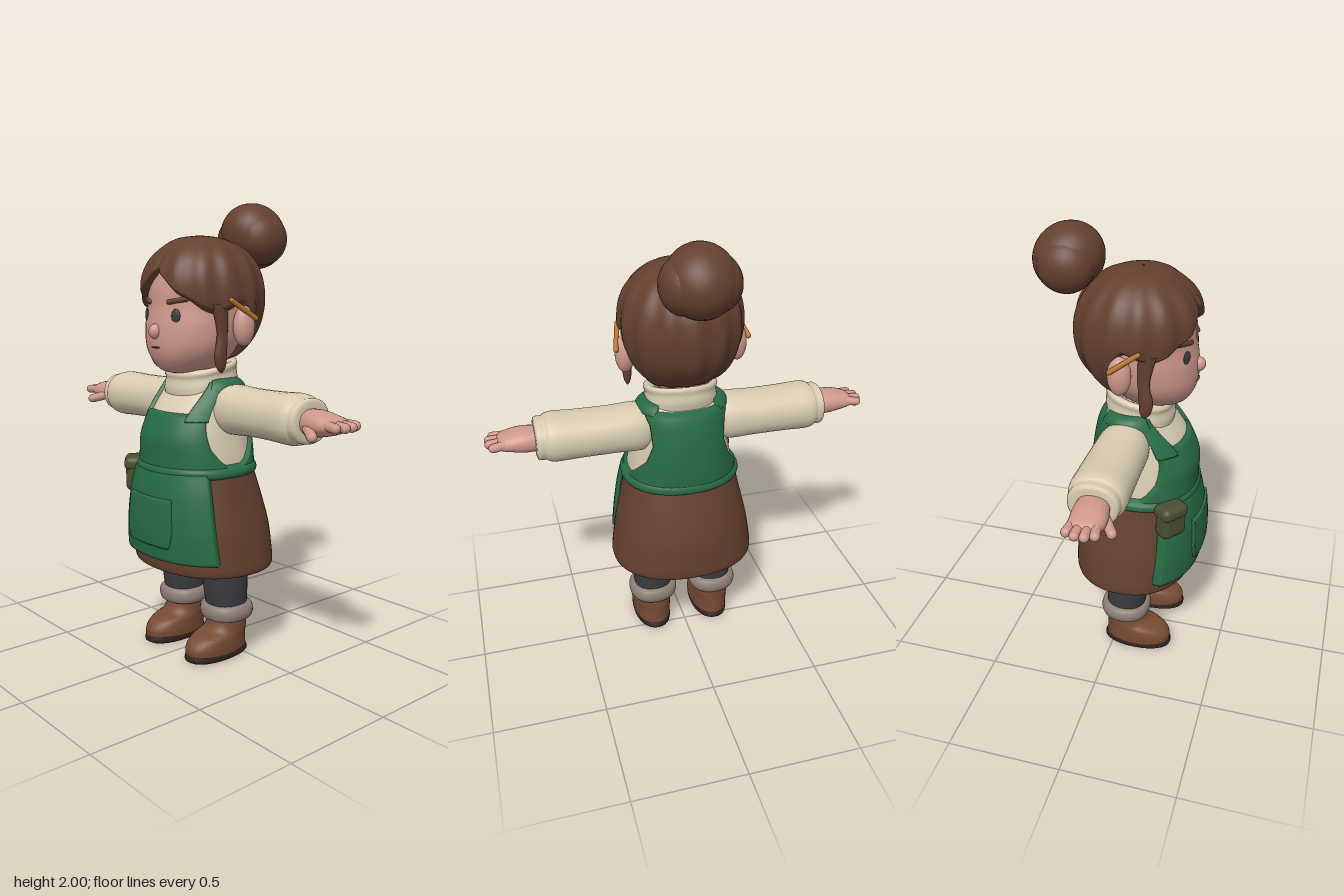
import * as THREE from 'three';
import { ParametricGeometry } from 'three/addons/geometries/ParametricGeometry.js';
import { RoundedBoxGeometry } from 'three/addons/geometries/RoundedBoxGeometry.js';

const material = (name, color) => {
  const m = new THREE.MeshStandardMaterial({ color, side: THREE.DoubleSide });
  m.name = name;
  return m;
};
const { lerp, clamp, degToRad: rad } = THREE.MathUtils;

// Cross-section row: [y, half width, front z, back z]; t is a fractional row index
function rowAt(rows, t) {
  const n = rows.length - 1, i = Math.min(n - 1, Math.max(0, Math.floor(t))), f = t - i;
  const r = (k) => rows[clamp(k, 0, n)];
  return rows[i].map((b, c) => {
    const a = r(i - 1)[c], d = r(i + 1)[c], e = r(i + 2)[c];
    return b + 0.5 * f * (d - a + f * (2 * a - 5 * b + 4 * d - e + f * (3 * (b - d) + e - a)));
  });
}
function indexOf(rows, y) {
  let i = 0;
  while (i < rows.length - 2 && y > rows[i + 1][0]) i++;
  return i + (y - rows[i][0]) / (rows[i + 1][0] - rows[i][0]);
}
const pow = (v, p) => Math.sign(v) * Math.abs(v) ** p;

// Point on a lofted body; phi runs from the front (+z) towards +x
function place(rows, t, phi, off, out, p = 0.9) {
  const [y, rx, zf, zb] = rowAt(rows, t);
  return out.set((rx + off) * pow(Math.sin(phi), p), y, (zf + zb) / 2 + ((zf - zb) / 2 + off) * pow(Math.cos(phi), p));
}
const loft = (rows, n = 32, per = 4, p = 0.9) => new ParametricGeometry(
  (u, v, out) => place(rows, v * (rows.length - 1), u * 2 * Math.PI, 0, out, p), n, (rows.length - 1) * per);

// Cloth patch lying on a loft between two angles (degrees, functions of y), edges tucked in
function panel(rows, off, y0, y1, lo, hi) {
  return new ParametricGeometry((u, v, out) => {
    const y = lerp(y0, y1, v);
    const edge = Math.max(0, 1 - Math.min(u, 1 - u, v, 1 - v) / 0.04);
    place(rows, indexOf(rows, y), rad(lerp(lo(y), hi(y), u)), off - 0.03 * edge, out);
  }, 50, 26);
}
// Piecewise linear lookup in [key, value] pairs
function lookup(pairs, k) {
  let i = 0;
  while (i < pairs.length - 2 && k > pairs[i + 1][0]) i++;
  const [a, b] = [pairs[i], pairs[i + 1]];
  return lerp(a[1], b[1], clamp((k - a[0]) / (b[0] - a[0]), 0, 1));
}
const ball = (x, y, z, rx, ry, rz) => new THREE.SphereGeometry(1, 24, 16).scale(rx, ry, rz).translate(x, y, z);
function rod(a, b, r) {
  const s = new THREE.Vector3(...a), e = new THREE.Vector3(...b), d = e.clone().sub(s);
  const q = new THREE.Quaternion().setFromUnitVectors(new THREE.Vector3(0, 1, 0), d.clone().normalize());
  const mid = s.add(e).multiplyScalar(0.5);
  return new THREE.CapsuleGeometry(r, d.length(), 6, 12).applyQuaternion(q).translate(mid.x, mid.y, mid.z);
}
function mirrored(geo) {
  const g = geo.clone().scale(-1, 1, 1);
  if (!g.index) return g;
  const ix = g.index.array;
  for (let i = 0; i < ix.length; i += 3) [ix[i], ix[i + 1]] = [ix[i + 1], ix[i]];
  return g;
}

export function createModel() {
  const model = new THREE.Group();
  const brown = material('hair and skirt brown', 0x64402f), skin = material('skin', 0xcf988c);
  const green = material('apron green', 0x276b45), cream = material('wool cream', 0xd8cbb0);
  const charcoal = material('charcoal', 0x3c3d40), leather = material('boot leather', 0x774b34);
  const soleDark = material('sole dark', 0x32231f), fur = material('fur', 0x8e7f76);
  const olive = material('pouch olive', 0x4a4f32), amber = material('clip amber', 0xb5742f);
  const add = (name, geo, mat) => {
    const mesh = new THREE.Mesh(geo, mat);
    mesh.name = name;
    model.add(mesh);
  };
  const pair = (name, geo, mat) => {
    add(name + 'Left', geo, mat);
    add(name + 'Right', mirrored(geo), mat);
  };

  // Boots, fur cuffs and legs
  pair('sole', loft([[0.003, 0.002, 0.13, 0.12], [0.002, 0.08, 0.265, -0.035], [0.035, 0.088, 0.272, -0.04]]).translate(0.148, 0, 0), soleDark);
  pair('boot', loft([[0.03, 0.088, 0.27, -0.038], [0.065, 0.09, 0.268, -0.036], [0.1, 0.088, 0.235, -0.035],
    [0.125, 0.085, 0.165, -0.035], [0.16, 0.083, 0.14, -0.035], [0.21, 0.083, 0.135, -0.035]]).translate(0.148, 0, 0), leather);
  pair('furCuff', loft([[0.17, 0.08, 0.13, -0.03], [0.175, 0.105, 0.16, -0.05], [0.205, 0.116, 0.17, -0.06],
    [0.235, 0.107, 0.162, -0.052], [0.245, 0.08, 0.13, -0.03]]).translate(0.15, 0, 0), fur);
  pair('leg', loft([[0.2, 0.085, 0.14, -0.03], [0.32, 0.094, 0.16, -0.035], [0.62, 0.1, 0.19, -0.04]]).translate(0.15, 0, 0), charcoal);

  // Skirt with lining, and the apron skirt over it
  add('skirt', loft([[0.62, 0.01, 0.1, 0.08], [0.6, 0.25, 0.28, -0.12], [0.45, 0.3, 0.31, -0.17], [0.41, 0.325, 0.33, -0.195],
    [0.43, 0.336, 0.342, -0.207], [0.5, 0.328, 0.345, -0.205], [0.6, 0.312, 0.345, -0.195], [0.72, 0.285, 0.335, -0.165],
    [0.85, 0.255, 0.32, -0.125]], 48), brown);
  const apronRows = [[0.46, 0.35, 0.362, -0.2], [0.6, 0.33, 0.372, -0.19], [0.75, 0.302, 0.362, -0.16], [0.86, 0.27, 0.34, -0.13]];
  add('apronSkirt', panel(apronRows, 0.01, 0.465, 0.86, () => -62, () => 62), green);
  const pocketSide = (y) => 25 * Math.min(1, 0.7 + 0.3 * Math.sqrt(Math.max(0, (y - 0.53) / 0.08)));
  add('apronPocket', panel(apronRows, 0.022, 0.535, 0.75, (y) => -pocketSide(y), pocketSide), green);
  add('waistband', loft([[0.825, 0.25, 0.33, -0.12], [0.838, 0.273, 0.35, -0.138], [0.865, 0.271, 0.35, -0.137], [0.885, 0.24, 0.33, -0.12]], 48), green);

  // Pullover body
  const torso = [[0.8, 0.25, 0.325, -0.115], [0.9, 0.24, 0.327, -0.118], [1, 0.223, 0.325, -0.115], [1.1, 0.206, 0.28, -0.102],
    [1.18, 0.195, 0.215, -0.082], [1.23, 0.175, 0.17, -0.05], [1.26, 0.1, 0.14, 0]];
  add('pulloverBody', loft(torso, 40), cream);

  // Apron bib, back and shoulder straps
  const frontSide = (y) => lookup([[0.86, 95], [0.9, 80], [0.95, 70], [1.05, 63], [1.15, 66], [1.24, 80]], y);
  const backSide = (y) => lookup([[0.86, 95], [0.9, 75], [0.97, 55], [1.06, 47], [1.16, 55], [1.24, 80]], y);
  const strapInner = (y) => lookup([[1.08, 33], [1.22, 45]], y);
  add('apronBib', panel(torso, 0.016, 0.84, 1.105, (y) => -frontSide(y), frontSide), green);
  add('apronBack', panel(torso, 0.016, 0.84, 1.22, (y) => 180 - backSide(y), (y) => 180 + backSide(y)), green);
  pair('frontStrap', panel(torso, 0.018, 1.06, 1.235, strapInner, frontSide), green);
  pair('shoulderStrap', panel(torso, 0.018, 1.195, 1.242, () => 48, () => 140), green);

  // Rolled collar, higher at the back
  const collar = loft([[1.19, 0.165, 0.225, -0.065], [1.225, 0.163, 0.228, -0.072], [1.26, 0.158, 0.222, -0.068],
    [1.285, 0.164, 0.226, -0.07], [1.3, 0.15, 0.21, -0.058], [1.285, 0.115, 0.18, -0.03]], 40);
  const cp = collar.attributes.position;
  for (let i = 0; i < cp.count; i++) cp.setY(i, cp.getY(i) - (cp.getZ(i) - 0.08) * 0.2);
  collar.computeVertexNormals();
  add('collar', collar, cream);

  // Sleeves and hands, lofted upright and laid along x
  const lay = (rows) => loft(rows, 28).rotateZ(-Math.PI / 2).translate(0, 1.112, 0);
  pair('sleeve', lay([[0.1, 0.07, 0.13, -0.01], [0.19, 0.106, 0.165, -0.05], [0.32, 0.101, 0.172, -0.06], [0.47, 0.101, 0.176, -0.062],
    [0.57, 0.105, 0.18, -0.062], [0.605, 0.1, 0.174, -0.056], [0.62, 0.091, 0.166, -0.048], [0.655, 0.087, 0.158, -0.04], [0.66, 0.04, 0.1, 0.02]]), cream);
  pair('palm', lay([[0.63, 0.05, 0.125, 0], [0.7, 0.053, 0.14, -0.005], [0.76, 0.043, 0.143, 0], [0.81, 0.027, 0.125, 0.01], [0.825, 0.004, 0.08, 0.06]]), skin);
  [[0.015, 0.838], [0.052, 0.852], [0.09, 0.852], [0.125, 0.835]].forEach(([z, tip], i) =>
    pair('finger' + (i + 1), rod([0.77, 1.118, lerp(z, 0.07, 0.2)], [tip, 1.113, z], 0.02), skin));
  pair('thumb', rod([0.69, 1.095, 0.12], [0.755, 1.075, 0.165], 0.021), skin);

  // Head and face
  const head = [[1.26, 0.03, 0.2, 0.06], [1.275, 0.1, 0.27, 0], [1.32, 0.158, 0.307, -0.03], [1.38, 0.2, 0.325, -0.08], [1.46, 0.22, 0.325, -0.12],
    [1.54, 0.224, 0.313, -0.14], [1.64, 0.22, 0.305, -0.13], [1.72, 0.19, 0.27, -0.1], [1.78, 0.05, 0.15, 0.05]];
  add('head', loft(head, 40, 4, 1), skin);
  const face = (x, y, off) => {
    const t = indexOf(head, y);
    return place(head, t, Math.asin(x / rowAt(head, t)[1]), off, new THREE.Vector3(), 1).toArray();
  };
  pair('eye', new THREE.SphereGeometry(1, 20, 12).scale(0.021, 0.03, 0.007).rotateY(0.45).translate(...face(0.1, 1.512, 0)), charcoal);
  pair('brow', rod(face(0.065, 1.568, 0), face(0.135, 1.58, 0), 0.011), brown);
  add('nose', ball(0, 1.445, 0.325, 0.026, 0.032, 0.03), skin);
  add('mouth', new THREE.SphereGeometry(1, 16, 8).scale(0.03, 0.004, 0.006).translate(...face(0, 1.378, 0)), leather);
  pair('ear', ball(0.25, 1.468, 0.05, 0.042, 0.085, 0.05).translate(0, 0, 0), skin);

  // Hair cap swept from a centre parting, cut along a hairline
  const hair = [[1.3, 0.15, 0.2, -0.02], [1.38, 0.208, 0.27, -0.125], [1.46, 0.243, 0.31, -0.183], [1.56, 0.266, 0.332, -0.205],
    [1.66, 0.26, 0.335, -0.197], [1.74, 0.228, 0.302, -0.16], [1.8, 0.172, 0.24, -0.1], [1.835, 0.1, 0.175, -0.01], [1.848, 0.004, 0.087, 0.079]];
  const hairline = [[0, 1.69], [0.2, 1.65], [0.4, 1.6], [0.85, 1.53], [1.1, 1.5], [1.35, 1.53], [1.6, 1.55], [1.75, 1.5], [1.9, 1.37], [2.05, 1.32], [2.4, 1.305], [3.2, 1.3]];
  add('hairCap', new ParametricGeometry((u, v, out) => {
    const phi = (u - 0.5) * 2 * Math.PI, a = Math.abs(phi);
    const t = lerp(indexOf(hair, lookup(hairline, a)), hair.length - 1, v);
    const fade = clamp((1.848 - rowAt(hair, t)[0]) / 0.12, 0, 1);
    const strands = 0.005 * Math.cos(14 * a) - 0.018 * Math.exp(-((a / 0.1) ** 2));
    place(hair, t, phi, fade * strands - 0.045 * Math.max(0, 1 - v / 0.05), out, 1);
  }, 120, 44), brown);
  pair('sideLock', loft([[1.275, 0.003, 0.155, 0.145], [1.3, 0.015, 0.175, 0.13], [1.35, 0.02, 0.185, 0.125],
    [1.44, 0.018, 0.17, 0.12], [1.56, 0.022, 0.2, 0.12]], 16).translate(0.222, 0, 0), brown);
  pair('hairClip', rod([0.262, 1.575, 0.13], [0.292, 1.5, 0.02], 0.011), amber);

  // Top bun with two side lobes
  add('bun', new THREE.SphereGeometry(1, 32, 20).scale(0.145, 0.142, 0.155).rotateX(-0.6).translate(0, 1.855, -0.232), brown);
  pair('bunLobe', ball(0.068, 1.84, -0.225, 0.098, 0.115, 0.122), brown);

  // Belt pouch on the right hip
  const pouch = (w, h, d, y) => new RoundedBoxGeometry(w, h, d, 4, 0.028).rotateY(-0.65).translate(-0.228, y, 0.275);
  add('pouch', pouch(0.125, 0.14, 0.085, 0.79), olive);
  add('pouchFlap', pouch(0.135, 0.065, 0.1, 0.845), olive);

  return model;
}
